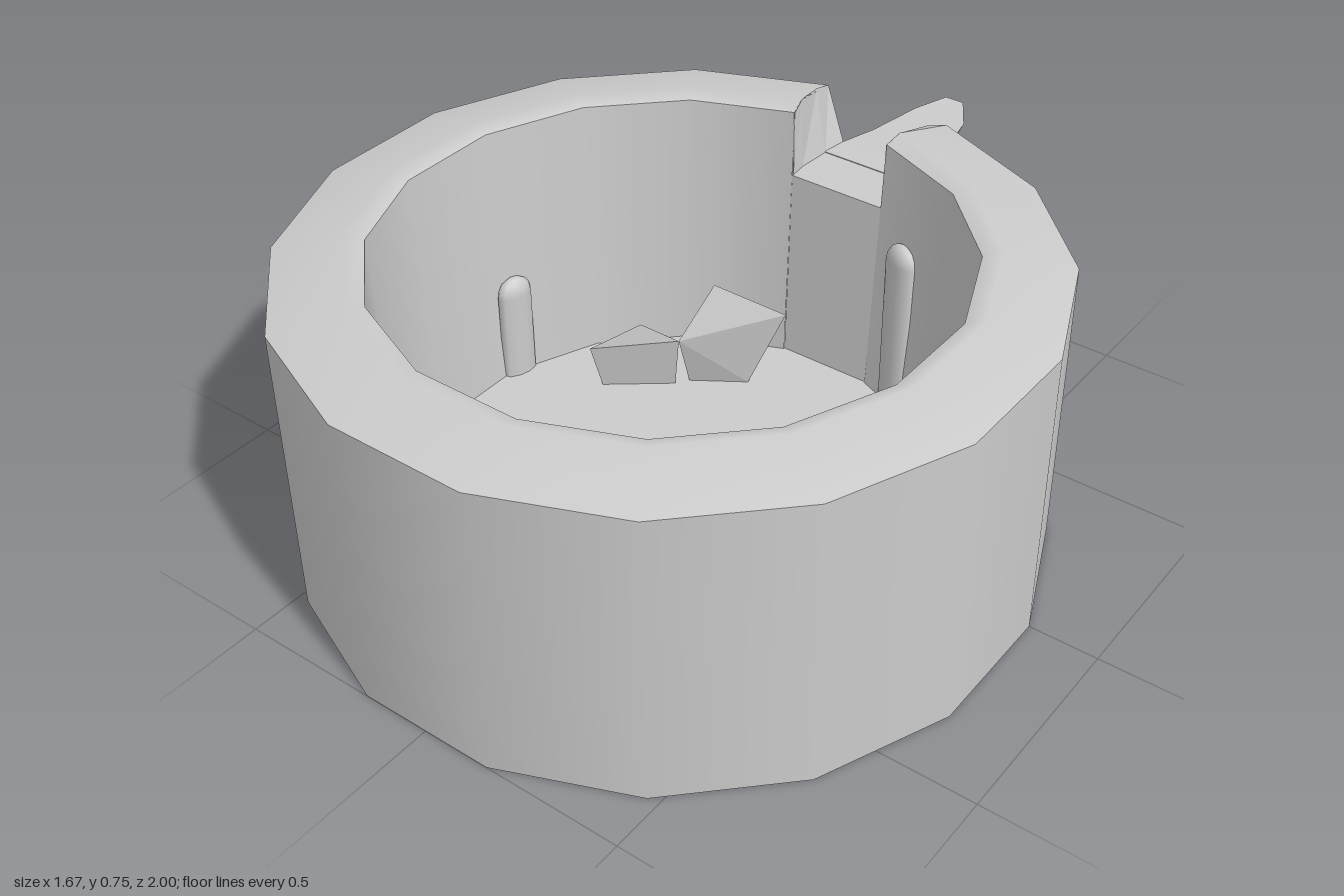
import * as THREE from 'three';
import { ConvexGeometry } from 'three/addons/geometries/ConvexGeometry.js';

const SIDES = 16, CENTRE_Z = 0.165, FLOOR_Y = 0.08;
const smooth = new THREE.MeshStandardMaterial({ color: 0xcccccc, side: THREE.DoubleSide });
const faceted = new THREE.MeshStandardMaterial({ color: 0xcccccc, side: THREE.DoubleSide, flatShading: true });

// Closed loft through cross-sections that share a point count, with fan caps.
function loft(sections) {
  const n = sections[0].length, index = [], last = (sections.length - 1) * n;
  for (let s = 0; s < sections.length - 1; s++) {
    for (let i = 0; i < n; i++) {
      const a = s * n + i, b = s * n + (i + 1) % n;
      index.push(a, b, a + n, b, b + n, a + n);
    }
  }
  for (let i = 1; i < n - 1; i++) index.push(0, i + 1, i, last, last + i, last + i + 1);
  const g = new THREE.BufferGeometry();
  g.setAttribute('position', new THREE.Float32BufferAttribute(sections.flat(2), 3));
  g.setIndex(index);
  const flat = g.toNonIndexed();
  flat.computeVertexNormals();
  return flat;
}

export function createModel() {
  const model = new THREE.Group();
  const add = (name, geometry, material = faceted, parent = model) => {
    const mesh = new THREE.Mesh(geometry, material);
    mesh.name = name;
    parent.add(mesh);
    return mesh;
  };

  // Bowl: turned shells with one side left open at the back for the spout
  const bowl = new THREE.Group();
  bowl.name = 'bowl';
  bowl.position.z = CENTRE_Z;
  model.add(bowl);
  const step = Math.PI * 2 / SIDES;
  const shells = {
    outerWall: [[0.851, 0], [0.851, 0.71]],
    rim: [[0.851, 0.71], [0.69, 0.75], [0.648, 0.735]],
    innerWall: [[0.648, 0.735], [0.615, FLOOR_Y]],
  };
  for (const [name, profile] of Object.entries(shells)) {
    const points = profile.map(([r, y]) => new THREE.Vector2(r, y));
    add(name, new THREE.LatheGeometry(points, SIDES - 1, Math.PI + step / 2, Math.PI * 2 - step), smooth, bowl);
  }
  const disc = (name, radius, y, turn) => {
    const g = new THREE.CircleGeometry(radius, SIDES, step / 2).rotateX(turn);
    add(name, g, faceted, bowl).position.y = y;
  };
  disc('base', 0.851, 0, Math.PI / 2);
  disc('bowlFloor', 0.62, FLOOR_Y, -Math.PI / 2);

  // Lower wall beneath the notch
  const wallSection = (y, innerX, innerZ) =>
    [[-0.166, y, -0.67], [0.166, y, -0.67], [innerX, y, innerZ], [-innerX, y, innerZ]];
  add('notchWall', loft([wallSection(0, 0.12, -0.438), wallSection(0.57, 0.125, -0.463)]));

  // Sloping cheeks either side of the notch: rim edge, outer foot, floor edge
  for (const side of [-1, 1]) {
    const stations = [
      [-0.67, 0.166, 0.71, 0.115], [-0.6, 0.153, 0.735, 0.122],
      [-0.51, 0.135, 0.75, 0.128], [-0.468, 0.127, 0.735, 0.124],
    ];
    const cheek = stations.map(([z, rimX, rimY, floorX]) => [
      [side * rimX, rimY, z], [side * rimX, 0.56, z], [side * floorX, 0.565, z],
    ]);
    add(side > 0 ? 'leftNotchCheek' : 'rightNotchCheek', loft(cheek));
  }

  // Pouring spout: flat top over a keel, [z, half width, top y, keel y]
  const spout = [
    [-0.6, 0.125, 0.572, 0.2], [-0.67, 0.115, 0.572, 0.24], [-0.78, 0.1, 0.56, 0.32],
    [-0.93, 0.07, 0.565, 0.48], [-1, 0.025, 0.58, 0.565],
  ].map(([z, w, top, keel]) => [[-w, top, z], [w, top, z], [0, keel, z]]);
  add('spout', loft(spout));

  // Rounded ribs on the inner wall: [x, z, top height]
  for (const [x, z, top] of [
    [-0.05, 0.77, 0.53], [0.25, 0.7, 0.36], [0.6, 0.2, 0.48], [0.22, -0.41, 0.53], [-0.6, 0.02, 0.35],
  ]) {
    const angle = Math.atan2(x, z - CENTRE_Z), r = 0.047, length = top - FLOOR_Y - r;
    const g = new THREE.CapsuleGeometry(r, length, 4, 10);
    g.translate(0, top - r - length / 2, 0).scale(1, 1, 0.55);
    const rib = add('wallRib', g, smooth, bowl);
    rib.position.set(Math.sin(angle) * 0.615, 0, Math.cos(angle) * 0.615);
    rib.rotation.y = angle;
  }

  // Small round plate on the floor
  const plate = add('floorPlate', new THREE.CylinderGeometry(0.142, 0.142, 0.015, 14));
  plate.position.set(0, FLOOR_Y + 0.0075, 0.37);

  // Two angular fragments resting on the floor
  const fragments = [
    [[-0.19, 0.35, -0.24], [-0.03, 0.29, -0.31], [-0.32, 0.12, -0.31], [-0.2, 0.12, -0.4],
      [-0.23, 0.22, -0.15], [-0.11, 0.08, -0.27], [-0.23, 0.08, -0.19]],
    [[-0.23, 0.22, -0.15], [-0.4, 0.2, -0.02], [-0.42, 0.14, -0.24], [-0.36, 0.14, -0.24],
      [-0.39, 0.08, -0.05], [-0.25, 0.08, -0.16]],
  ];
  for (const points of fragments) {
    add('fragment', new ConvexGeometry(points.map((p) => new THREE.Vector3(...p))));
  }
  return model;
}
